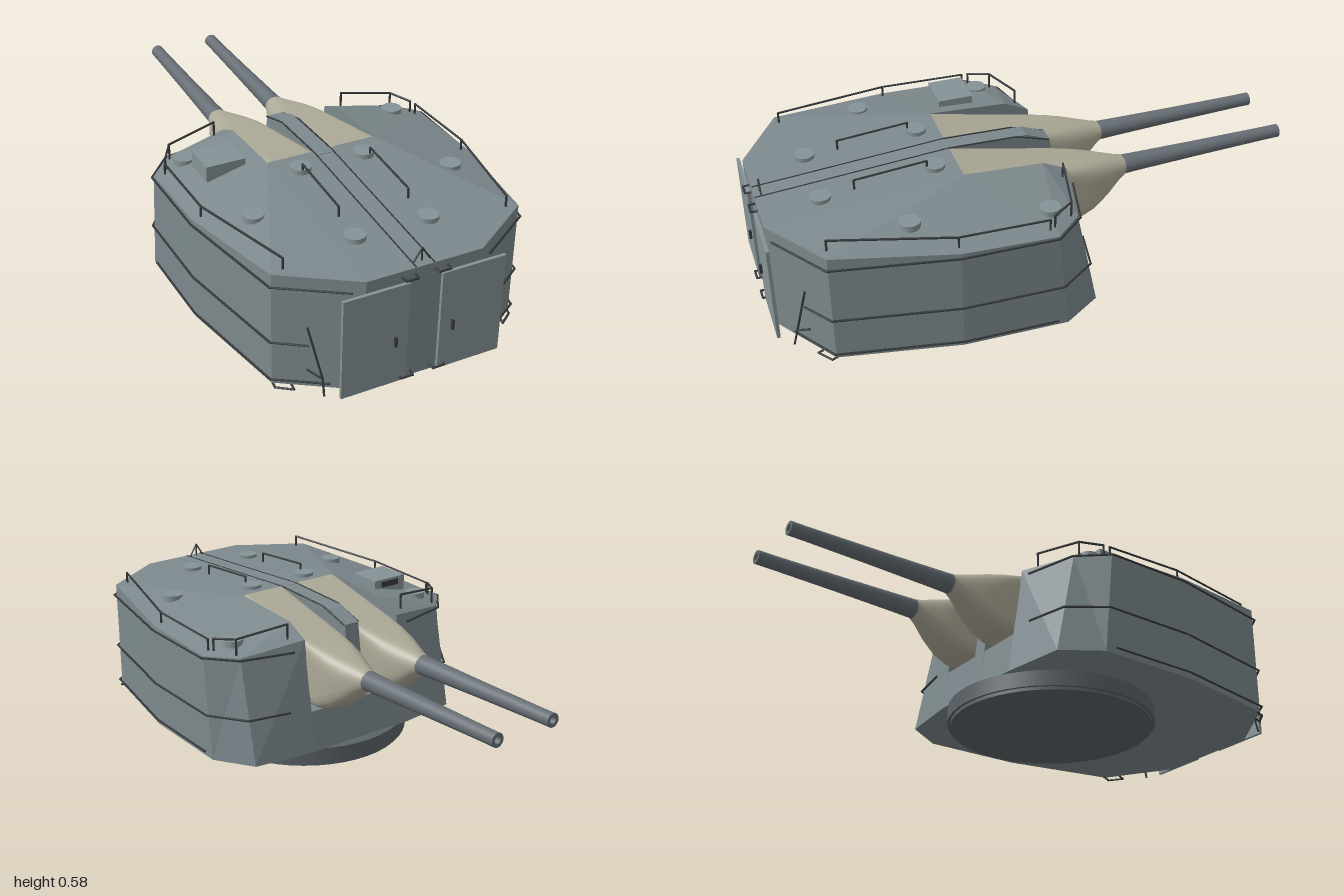
import * as THREE from 'three';

const V = (x, y, z) => new THREE.Vector3(x, y, z);
const mat = (color, extra = {}) => Object.assign(new THREE.MeshStandardMaterial({ color }), extra);

export function createModel() {
  const root = new THREE.Group();
  const steel = mat(0x7d898d, { flatShading: true, side: THREE.DoubleSide });
  const plate = mat(0x869397);
  const gunSteel = mat(0x666e74);
  const ringSteel = mat(0x5b6368);
  const canvas = mat(0xaeaa98, { side: THREE.DoubleSide });
  const dark = mat(0x35393c);

  const add = (name, geo, material, x = 0, y = 0, z = 0, parent = root) => {
    const m = new THREE.Mesh(geo, material);
    m.name = name;
    m.position.set(x, y, z);
    parent.add(m);
    return m;
  };
  // round bar following a list of points
  const rod = (name, pts, r = 0.004) => {
    const g = new THREE.Group();
    g.name = name;
    for (let i = 0; i + 1 < pts.length; i++) {
      const d = pts[i + 1].clone().sub(pts[i]);
      const m = add(name + 'Bar', new THREE.CylinderGeometry(r, r, d.length() + r, 6), dark, 0, 0, 0, g);
      m.position.copy(pts[i]).addScaledVector(d, 0.5);
      m.quaternion.setFromUnitVectors(V(0, 1, 0), d.normalize());
    }
    root.add(g);
  };

  // armour shell: left half outline from the rear to the front, then mirrored
  const low = [[0, 0.97], [0.21, 0.97], [0.455, 0.81], [0.535, 0.38], [0.54, 0.0], [0.45, -0.14], [0.21, -0.17]]
    .map(([x, z]) => V(x, 0.07, z));
  const top = [V(0, 0.49, 0.97), V(0.21, 0.49, 0.97), V(0.455, 0.492, 0.81), V(0.535, 0.465, 0.38),
    V(0.54, 0.455, 0.04), V(0.45, 0.455, -0.06), V(0.21, 0.485, -0.11)];
  const crest = V(0.21, 0.543, 0.27), brow = V(0.21, 0.528, -0.02), crestMid = V(0, 0.543, 0.27);
  const sill = V(0.21, 0.22, -0.148);
  const shellGeometry = (polys) => {
    const pos = [];
    for (const s of [1, -1]) for (const poly of polys) for (let i = 1; i + 1 < poly.length; i++) {
      const tri = s > 0 ? [poly[0], poly[i], poly[i + 1]] : [poly[0], poly[i + 1], poly[i]];
      for (const p of tri) pos.push(s * p.x, p.y, p.z);
    }
    const g = new THREE.BufferGeometry();
    g.setAttribute('position', new THREE.Float32BufferAttribute(pos, 3));
    g.computeVertexNormals();
    return g;
  };
  const walls = [];
  for (let i = 0; i < 6; i++) walls.push([low[i], low[i + 1], top[i + 1], top[i]]);
  walls.push([low[6], V(0, 0.07, -0.17), V(0, 0.22, -0.148), sill]); // below the gun ports
  walls.push([sill, top[6], brow, crest, V(0.21, 0.22, 0.27)]); // port side
  walls.push([sill, V(0.21, 0.22, 0.27), V(0, 0.22, 0.27), V(0, 0.22, -0.148)]); // port floor
  walls.push([V(0, 0.22, 0.27), V(0.21, 0.22, 0.27), crest, crestMid]); // port back
  walls.push([V(0, 0.07, -0.17), ...low.slice().reverse()]); // underside
  add('armourWalls', shellGeometry(walls), steel);
  const roof = add('roof', shellGeometry([
    [top[0], top[1], crest, crestMid],
    [crest, top[1], top[2]], [crest, top[2], top[3]], [crest, top[3], top[4]],
    [crest, top[4], brow], [brow, top[4], top[5]], [brow, top[5], top[6]],
  ]), steel);

  // height of the roof at any point
  const ray = new THREE.Raycaster();
  const roofY = (x, z) => {
    ray.set(V(x, 2, z), V(0, -1, 0));
    const hit = ray.intersectObject(roof)[0];
    return hit ? hit.point.y : 0.48;
  };

  // divider between the two gun ports
  const divider = new THREE.Shape([[0.17, 0.07], [0.11, 0.5], [0.02, 0.535], [-0.3, 0.543], [-0.3, 0.07]]
    .map(([a, b]) => new THREE.Vector2(a, b)));
  const dividerGeo = new THREE.ExtrudeGeometry(divider, { depth: 0.06, bevelEnabled: false });
  dividerGeo.rotateY(Math.PI / 2).translate(-0.03, 0, 0);
  add('portDivider', dividerGeo, steel);

  // base ring
  add('baseRing', new THREE.CylinderGeometry(0.385, 0.385, 0.06, 48), ringSteel, 0, 0.042, 0.175);
  add('baseRingFoot', new THREE.CylinderGeometry(0.375, 0.375, 0.014, 48), ringSteel, 0, 0.007, 0.175);

  // canvas gun covers: [z, half width, bottom, top, squareness]
  const sections = [[0.272, 0.09, 0.46, 0.546, 12], [0.1, 0.09, 0.3, 0.512, 12], [-0.1, 0.09, 0.235, 0.475, 8],
    [-0.17, 0.09, 0.232, 0.465, 5], [-0.23, 0.084, 0.25, 0.455, 3.5], [-0.29, 0.066, 0.288, 0.443, 2.6],
    [-0.34, 0.046, 0.335, 0.431, 2.1], [-0.365, 0.038, 0.355, 0.426, 2]];
  const N = 40;
  const coverPos = [], coverIndex = [];
  sections.forEach(([z, w, b, t, n], j) => {
    for (let i = 0; i < N; i++) {
      const a = (i / N) * Math.PI * 2, c = Math.cos(a), s = Math.sin(a);
      coverPos.push(w * Math.sign(c) * Math.abs(c) ** (2 / n),
        (b + t) / 2 + ((t - b) / 2) * Math.sign(s) * Math.abs(s) ** (2 / n), z);
      if (j) {
        const k = (j - 1) * N, i2 = (i + 1) % N;
        coverIndex.push(k + i, k + i2, k + N + i, k + i2, k + N + i2, k + N + i);
      }
    }
  });
  const coverGeo = new THREE.BufferGeometry();
  coverGeo.setAttribute('position', new THREE.Float32BufferAttribute(coverPos, 3));
  // wind so the faces look outward
  for (let i = 0; i < coverIndex.length; i += 3) {
    [coverIndex[i + 1], coverIndex[i + 2]] = [coverIndex[i + 2], coverIndex[i + 1]];
  }
  coverGeo.setIndex(coverIndex);
  coverGeo.computeVertexNormals();

  // hollow tapered barrel
  const barrelGeo = new THREE.LatheGeometry([[0.037, 0], [0.034, 0.1], [0.029, 0.33], [0.025, 0.6], [0.025, 0.66],
    [0.025, 0.66], [0.013, 0.66], [0.013, 0.66], [0.013, 0.56], [0, 0.56]].map(([a, b]) => new THREE.Vector2(a, b)), 24);

  for (const s of [1, -1]) {
    const side = s > 0 ? 'left' : 'right';
    const P = (x, y, z) => V(s * x, y, z);

    add(side + 'GunCover', coverGeo, canvas, s * 0.122);
    add(side + 'Barrel', barrelGeo, gunSteel, s * 0.122, 0.39, -0.34).rotation.x = -Math.PI / 2 + 0.022;

    // rear door with handle and hinge bars
    add(side + 'Door', new THREE.BoxGeometry(0.235, 0.375, 0.012), plate, s * 0.177, 0.26, 0.977);
    add(side + 'DoorHandle', new THREE.BoxGeometry(0.008, 0.036, 0.012), dark, s * 0.105, 0.238, 0.987);
    for (const y of [0.087, 0.467]) {
      rod(side + 'DoorHinge', [P(0.035, y, 0.965), P(0.038, y, 0.993), P(0.08, y, 0.993), P(0.083, y, 0.965)]);
    }

    // rails along the walls
    const o = 0.007;
    rod(side + 'UpperWallRail', [P(0.25, 0.45, 0.955), P(0.455 + o, 0.45, 0.815), P(0.535 + o, 0.45, 0.38),
      P(0.54 + o, 0.45, 0.04), P(0.455, 0.45, -0.068), P(0.26, 0.45, -0.115)]);
    rod(side + 'MiddleWallRail', [P(0.36, 0.238, 0.885), P(0.455 + o, 0.238, 0.815), P(0.535 + o, 0.238, 0.38),
      P(0.54 + o, 0.238, 0.02), P(0.455, 0.238, -0.112), P(0.3, 0.238, -0.143)]);
    rod(side + 'LowerWallRail', [P(0.3, 0.09, 0.92), P(0.455 + o, 0.09, 0.815), P(0.535 + o, 0.09, 0.38),
      P(0.54 + o, 0.09, 0.04)]);
    rod(side + 'FootRail', [P(0.4, 0.07, 0.84), P(0.4, 0.06, 0.862), P(0.45, 0.06, 0.825), P(0.45, 0.07, 0.8)]);

    // forked stay on the angled rear wall
    rod(side + 'Stay', [P(0.363, 0.305, 0.88), P(0.325, 0.115, 0.915), P(0.327, 0.06, 0.93)]);
    rod(side + 'StayFork', [P(0.325, 0.115, 0.915), P(0.362, 0.14, 0.878)]);

    // roof guard rails with posts
    const guard = [[0.41, 0.535, 0.8], [0.505, 0.512, 0.38], [0.505, 0.505, 0.06]];
    const bow = [[0.495, 0.51, 0.04], [0.45, 0.52, -0.035], [0.26, 0.545, -0.075]];
    for (const rail of [guard, bow]) {
      rod(side + 'RoofGuardRail', rail.map((p) => P(...p)));
      for (const [x, y, z] of rail) rod(side + 'RoofGuardPost', [P(x, y, z), P(x, roofY(x, z) - 0.005, z)]);
    }

    // grab rail behind the gun
    rod(side + 'GrabRail', [P(0.13, roofY(0.13, 0.38), 0.38), P(0.13, 0.574, 0.38),
      P(0.13, 0.552, 0.64), P(0.13, roofY(0.13, 0.64), 0.64)]);
    // seam on the roof and splayed leg at the rear edge
    rod(side + 'RoofSeam', [P(0.033, 0.49, 0.967), P(0.033, 0.543, 0.27), P(0.033, 0.537, 0.02), P(0.033, 0.5, -0.105)], 0.003);
    rod(side + 'RearPostLeg', [P(0, 0.54, 0.945), P(0.03, 0.492, 0.945)], 0.003);

    // round roof hatches
    for (const [x, z] of [[0.42, 0.03], [0.375, 0.51], [0.122, 0.35], [0.135, 0.76]]) {
      add(side + 'RoofHatch', new THREE.CylinderGeometry(0.037, 0.037, 0.024, 20), plate, s * x, roofY(x, z) + 0.003, z);
    }
  }
  rod('rearPost', [V(0, 0.49, 0.945), V(0, 0.54, 0.945)], 0.003);

  // sight box on the roof with a dark window
  add('sightBox', new THREE.BoxGeometry(0.145, 0.06, 0.13), plate, -0.342, 0.52, 0.155);
  add('sightWindow', new THREE.BoxGeometry(0.08, 0.022, 0.006), dark, -0.342, 0.53, 0.089);

  return root;
}
